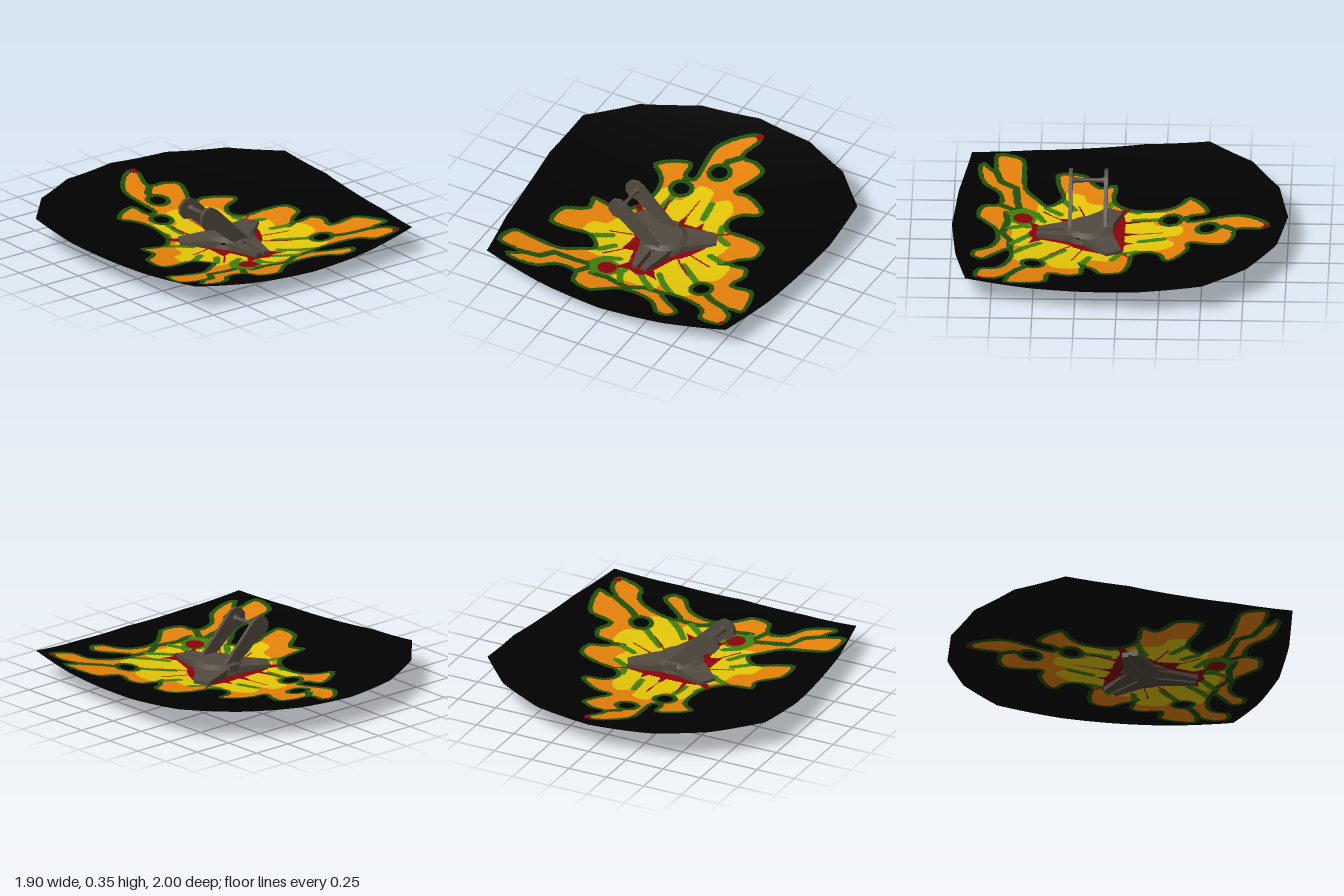
import * as THREE from 'three';

const mat = (name, color, side = THREE.FrontSide) => {
  const m = new THREE.MeshStandardMaterial({ color, side });
  m.name = name;
  return m;
};

// Painted pattern: coordinates are x, z pairs in hundredths of a unit
const pts = (a) => {
  const out = [];
  for (let i = 0; i < a.length; i += 2) out.push([a[i] / 100, a[i + 1] / 100]);
  return out;
};
const smooth = (a) => {
  const p = pts(a).map(([x, z]) => new THREE.Vector3(x, 0, z));
  return new THREE.CatmullRomCurve3(p, true).getPoints(p.length * 3).slice(0, -1).map((v) => [v.x, v.z]);
};
const flame = smooth([
  4, -89, 9, -89, 10, -83, 6, -70, 15, -69, 24, -63, 21, -51, 17, -42, 25, -42, 41, -31, 39, -26, 30, -23, 26, -15,
  30, -9, 38, -8, 46, -7, 57, -2, 58, 11, 50, 16, 47, 20, 58, 21, 62, 30, 59, 40, 73, 42, 78, 51, 80, 68,
  70, 67, 75, 72, 76, 85, 58, 83, 54, 73, 38, 66, 26, 66, 33, 72, 44, 81, 40, 88, 31, 87, 23, 78, 12, 74, 0, 75, -9, 82,
  -14, 86, -28, 83, -32, 73, -43, 74, -51, 83, -69, 86, -73, 82, -67, 77, -82, 76, -80, 59, -67, 57, -50, 56,
  -39, 48, -34, 44, -42, 36, -55, 39, -67, 39, -67, 22, -55, 13, -57, 3, -39, 3, -31, -5, -28, -21, -31, -32,
  -40, -41, -23, -53, -18, -51, -17, -42, -13, -41, -14, -56, -14, -70, -5, -83]);
const heat = smooth([
  -6, -37, 4, -36, 6, -27, 16, -33, 23, -25, 23, -15, 26, 0, 37, 6, 35, 20, 47, 22, 47, 40, 37, 44, 42, 58,
  30, 65, 20, 56, 17, 65, 8, 65, 0, 64, -8, 68, -13, 58, -23, 50, -33, 50, -42, 45, -33, 39, -46, 37, -46, 23,
  -38, 20, -34, 8, -26, -2, -29, -13, -23, -27, -17, -21, -10, -21]);
const core = pts([
  -34, -8, -23, -2, -16, -3, -15, -14, -13, -3, -2, -3, 0, -12, 2, -3, 10, -3, 12, -9, 14, -3, 25, -2, 28, 5, 21, 21,
  17, 27, 13, 31, 8, 46, 14, 54, 6, 52, 1, 55, -6, 52, -14, 55, -9, 46, -12, 34, -19, 36, -18, 22, -23, 12, -27, 2]);
// Seams between outer tongues, and wider gaps between the hot lobes
const seams = [
  [-1, -58, -1, -62, 6, -69], [70, 67, 55, 60, 43, 51], [25, 65, 12, 65, 3, 70, -12, 67, -22, 68],
  [-70, 77, -55, 72, -50, 63, -36, 62, -25, 60], [-17, -42, -15, -30], [-31, 73, -25, 62], [47, 20, 40, 22]].map(pts);
const gaps = [
  [-16, -28, -17, -8], [30, -18, 24, -10, 27, 0, 35, 4], [8, -26, 10, -12], [40, 21, 31, 18],
  [43, 51, 30, 40, 21, 33], [44, 68, 30, 64, 20, 56, 13, 48], [16, 64, 8, 58, 4, 54],
  [-4, 66, -8, 58, -7, 54], [-22, 66, -27, 57, -23, 50, -15, 46], [-42, 45, -30, 44, -24, 36],
  [-42, 36, -30, 28], [-38, 5, -30, 9, -25, 13], [-29, -18, -26, -10, -30, -2]].map(pts);
const rays = [
  [0, -25, 0, -3], [-16, -18, -15, -3], [15, 29, 28, 41], [19, 22, 36, 28],
  [-18, 36, -26, 46], [-18, 20, -33, 25], [25, -2, 34, -7]].map(pts);
const holes = [[-0.01, -0.52], [-0.15, -0.3], [0.43, 0.51]];

const inside = (x, z, p) => {
  let hit = false;
  for (let i = 0, j = p.length - 1; i < p.length; j = i++) {
    const [ax, az] = p[i], [bx, bz] = p[j];
    if ((az > z) !== (bz > z) && x < (bx - ax) * (z - az) / (bz - az) + ax) hit = !hit;
  }
  return hit;
};
const distance = (x, z, p, closed = false) => {
  let best = 9;
  for (let i = closed ? 0 : 1; i < p.length; i++) {
    const [ax, az] = p[(i + p.length - 1) % p.length], [bx, bz] = p[i];
    const dx = bx - ax, dz = bz - az;
    const t = THREE.MathUtils.clamp(((x - ax) * dx + (z - az) * dz) / (dx * dx + dz * dz), 0, 1);
    best = Math.min(best, Math.hypot(x - ax - t * dx, z - az - t * dz));
  }
  return best;
};

// Material index: 0 black, 1 dark green, 2 orange, 3 yellow, 4 red, 5 light green
function paint(x, z) {
  if (!inside(x, z, flame)) return 0;
  const spot = Math.hypot(x + 0.17, z - 0.58);
  if (spot < 0.058) return 4;
  if (Math.hypot(x - 0.075, z + 0.87) < 0.025 || Math.hypot(x - 0.745, z - 0.82) < 0.02) return 4;
  if (inside(x, z, core) || rays.some((r) => distance(x, z, r) < 0.005)) return 4;
  for (const [hx, hz] of holes) {
    const d = Math.hypot(x - hx, z - hz);
    if (d < 0.048) return 0;
    if (d < 0.078) return 1;
  }
  if (distance(x, z, flame, true) < 0.029) return 1;
  if (spot < 0.08 || gaps.some((v) => distance(x, z, v) < 0.021)) return 5;
  if (seams.some((v) => distance(x, z, v) < 0.022)) return 1;
  return inside(x, z, heat) ? 3 : 2;
}

// Shallow dished sheet, cut to a rounded shield outline
const rim = [[-1, 0], [-0.94, 0.37], [-0.77, 0.69], [-0.51, 0.93], [-0.13, 0.95], [0.2, 0.92],
  [0.52, 0.885], [0.9, 0.81], [0.97, 0.4], [1, 0]];
const halfWidth = (z) => {
  let i = 1;
  while (i < rim.length - 1 && z > rim[i][0]) i++;
  const [z0, w0] = rim[i - 1], [z1, w1] = rim[i];
  return w0 + (w1 - w0) * (z - z0) / (z1 - z0);
};
const dish = (x, z) => 0.04 + 0.118 * x * x + 0.096 * (z - 0.2) ** 2;

function sheetGeometry() {
  const n = 240, pos = [], nor = [], buckets = [[], [], [], [], [], []];
  for (let r = 0; r <= n; r++) {
    const z = -1 + 2 * r / n, w = halfWidth(z);
    for (let c = 0; c <= n; c++) {
      const x = w * (2 * c / n - 1);
      pos.push(x, dish(x, z), z);
      const v = new THREE.Vector3(-0.236 * x, 1, -0.192 * (z - 0.2)).normalize();
      nor.push(v.x, v.y, v.z);
    }
  }
  const tri = (...t) => {
    const mid = (k) => (pos[t[0] * 3 + k] + pos[t[1] * 3 + k] + pos[t[2] * 3 + k]) / 3;
    buckets[paint(mid(0), mid(2))].push(...t);
  };
  for (let r = 0; r < n; r++) for (let c = 0; c < n; c++) {
    const a = r * (n + 1) + c, b = a + n + 1;
    tri(a, b, a + 1);
    tri(a + 1, b, b + 1);
  }
  const g = new THREE.BufferGeometry();
  g.setAttribute('position', new THREE.Float32BufferAttribute(pos, 3));
  g.setAttribute('normal', new THREE.Float32BufferAttribute(nor, 3));
  let start = 0;
  buckets.forEach((b, i) => { g.addGroup(start, b.length, i); start += b.length; });
  g.setIndex(buckets.flat());
  return g;
}

export function createModel() {
  const model = new THREE.Group();
  const two = THREE.DoubleSide;
  const black = mat('black', 0x010101, two);
  const metal = mat('dark metal', 0x524a3f);
  const add = (parent, name, geo, m, x = 0, y = 0, z = 0) => {
    const mesh = new THREE.Mesh(geo, m);
    mesh.name = name;
    mesh.position.set(x, y, z);
    parent.add(mesh);
    return mesh;
  };
  add(model, 'paintedSheet', sheetGeometry(), [black, mat('dark green', 0x20500a, two),
    mat('orange', 0xe6820a, two), mat('yellow', 0xe6c808, two), mat('red', 0x8a0408, two),
    mat('light green', 0x42800c, two)]);

  // Hub above and below the sheet
  const hub = new THREE.Group();
  hub.name = 'hub';
  hub.position.z = 0.185;
  model.add(hub);
  const disc = (name, top, bottom, y0, y1, m = metal) =>
    add(hub, name, new THREE.CylinderGeometry(top, bottom, y1 - y0, 20), m, 0, (y0 + y1) / 2, 0);
  disc('hubBase', 0.14, 0.15, 0.03, 0.065);
  disc('hubGap', 0.125, 0.125, 0.065, 0.085, black);
  disc('hubCap', 0.115, 0.145, 0.085, 0.108);
  disc('lowerBoss', 0.075, 0.05, 0, 0.022);

  // Three tapered arms clamp the sheet from both sides
  const slab = (outline, depth) => {
    const s = new THREE.Shape(outline.map(([x, y]) => new THREE.Vector2(x, y)));
    return new THREE.ExtrudeGeometry(s, { depth, bevelEnabled: false });
  };
  const armHalf = (side, gap, depth) => {
    const o = [[gap, 0.02], [0.105, 0.05], [0.09, 0.14], [0.05, 0.31], [gap, 0.31]];
    const g = slab(side > 0 ? o : o.map(([x, y]) => [-x, y]).reverse(), depth);
    return g.rotateX(Math.PI / 2); // outline runs along +z, depth downwards
  };
  for (let i = 0; i < 3; i++) {
    const arm = new THREE.Group();
    arm.name = 'arm';
    arm.rotation.y = i * Math.PI * 2 / 3;
    hub.add(arm);
    for (const side of [1, -1]) {
      const g = armHalf(side, i === 0 ? 0.012 : 0, 0.045);
      const p = g.attributes.position;
      for (let k = 0; k < p.count; k++) // top slopes down towards the tip
        if (p.getY(k) > -0.01) p.setY(k, 0.012 - 0.08 * Math.max(0, p.getZ(k) - 0.1));
      g.computeVertexNormals();
      add(arm, 'upperProng', g, metal, 0, 0.075, 0);
      add(arm, 'lowerProng', armHalf(side, 0.01, 0.015), metal, 0, 0.036, 0);
    }
  }

  // Handle: two slanted side bars with faceted round ends, joined by a grip
  const handle = new THREE.Group();
  handle.name = 'handle';
  model.add(handle);
  const end = [-0.245, 0.283], bar = [[0.06, 0.075]];
  for (let i = 0; i <= 6; i++) {
    const a = THREE.MathUtils.degToRad(40 + i * 40);
    bar.push([end[0] + 0.067 * Math.cos(a), end[1] + 0.067 * Math.sin(a)]);
  }
  bar.push([-0.05, 0.075]);
  for (const z of [0.088, 0.298]) add(handle, 'sideBar', slab(bar, 0.022), metal, 0, 0, z - 0.011);
  const profile = [[0.025, -0.1], [0.014, -0.075], [0.012, 0], [0.014, 0.075], [0.025, 0.1]];
  const grip = new THREE.LatheGeometry(profile.map(([r, y]) => new THREE.Vector2(r, y)), 14);
  add(handle, 'grip', grip, metal, -0.235, 0.285, 0.193).rotation.x = Math.PI / 2;
  add(handle, 'backMount', new THREE.BoxGeometry(0.07, 0.04, 0.05), metal, -0.005, 0.085, 0.065);
  return model;
}
